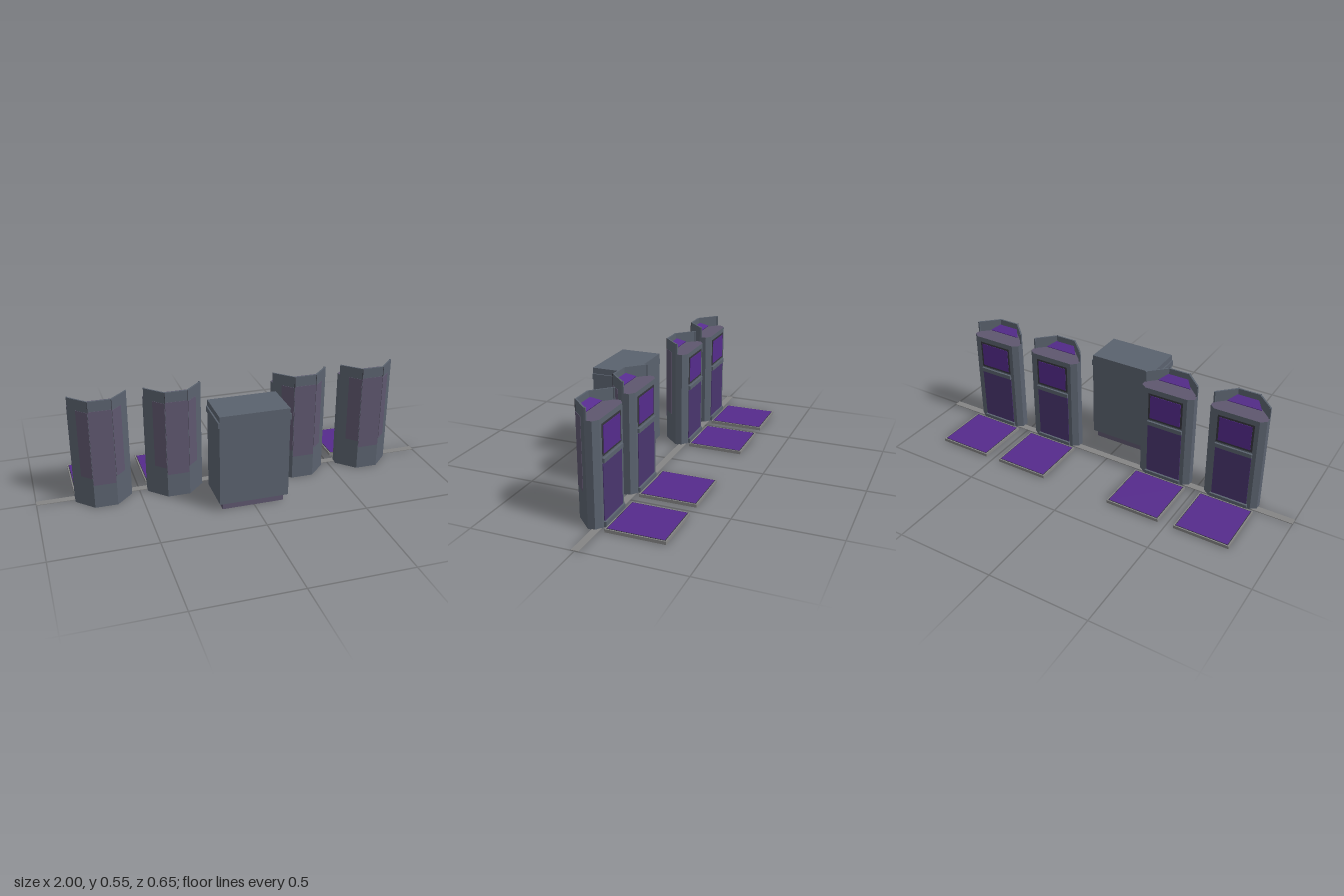
import * as THREE from 'three';

const material = (name, color, side = THREE.FrontSide) => {
  const m = new THREE.MeshStandardMaterial({ color, side });
  m.name = name;
  return m;
};

export function createModel() {
  const slate = material('slate', 0x5a626e);
  const tinted = material('tinted slate', 0x5e576e);
  const purple = material('purple', 0x552b8c);
  const deepPurple = material('deep purple', 0x49356e);
  const grey = material('grey', 0x858585);
  const dark = material('dark trim', 0x35353d);

  const model = new THREE.Group();

  const add = (parent, name, geometry, mat) => {
    const mesh = new THREE.Mesh(geometry, mat);
    mesh.name = name;
    parent.add(mesh);
    return mesh;
  };
  // Box given by its limits on each axis
  const box = (parent, name, mat, x0, x1, y0, y1, z0, z1) => {
    const mesh = add(parent, name, new THREE.BoxGeometry(x1 - x0, y1 - y0, z1 - z0), mat);
    mesh.position.set((x0 + x1) / 2, (y0 + y1) / 2, (z0 + z1) / 2);
    return mesh;
  };
  // Upright prism from a plan outline of [x, z] points
  const prism = (parent, name, mats, plan, y0, y1) => {
    const shape = new THREE.Shape(plan.map(([x, z]) => new THREE.Vector2(x, -z)));
    const geometry = new THREE.ExtrudeGeometry(shape, { depth: y1 - y0, bevelEnabled: false });
    geometry.rotateX(-Math.PI / 2).translate(0, y0, 0);
    return add(parent, name, geometry, mats);
  };
  const mirrored = (half) => [...half, ...half.map(([x, z]) => [-x, z]).reverse()];

  function createConsole() {
    const unit = new THREE.Group();
    unit.name = 'console';

    // Faceted cabinet with an open-backed collar above it
    prism(unit, 'cabinet', [tinted, slate],
      mirrored([[0.11, -0.02], [0.1375, 0], [0.1375, 0.035], [0.055, 0.117]]), 0, 0.495);
    prism(unit, 'collar', slate, [
      [-0.1375, 0.026], [-0.1375, 0.035], [-0.055, 0.117], [0.055, 0.117], [0.1375, 0.035],
      [0.1375, 0.026], [0.13, 0.026], [0.13, 0.032], [0.052, 0.109], [-0.052, 0.109],
      [-0.13, 0.032], [-0.13, 0.026],
    ], 0.495, 0.55);

    // Tinted panels on the front facets
    box(unit, 'frontPanel', tinted, -0.054, 0.054, 0.12, 0.5, 0.116, 0.119);
    for (const side of [-1, 1]) {
      const panel = add(unit, 'sidePanel', new THREE.BoxGeometry(0.068, 0.34, 0.003), tinted);
      panel.position.set(side * 0.08, 0.325, 0.0925);
      panel.rotation.y = side * Math.PI / 4;
      // Seams in the collar
      box(unit, 'collarSeam', dark, side * 0.055 - 0.001, side * 0.055 + 0.001, 0.495, 0.55, 0.116, 0.119);
    }

    // Sloped display inside the collar
    const display = prism(unit, 'collarDisplay', purple,
      [[-0.085, -0.025], [-0.052, 0.02], [0.052, 0.02], [0.085, -0.025]].reverse(), 0, 0.005);
    display.position.set(0, 0.51, 0.088);
    display.rotation.x = -0.5;

    // Back: framed screen above, deep panel below, with two rails
    box(unit, 'screenFrame', dark, -0.09, 0.09, 0.325, 0.47, -0.022, -0.018);
    box(unit, 'screen', purple, -0.08, 0.08, 0.335, 0.46, -0.024, -0.019);
    box(unit, 'lowerPanel', deepPurple, -0.09, 0.09, 0.025, 0.292, -0.023, -0.018);
    box(unit, 'handRail', slate, -0.092, 0.092, 0.296, 0.317, -0.03, -0.015);
    box(unit, 'footRail', slate, -0.095, 0.095, 0, 0.024, -0.032, -0.015);

    // Standing platform behind the console
    const platform = new THREE.Group();
    platform.name = 'platform';
    unit.add(platform);
    box(platform, 'platformBase', grey, -0.1365, 0.1395, 0.001, 0.0165, -0.326, -0.044);
    box(platform, 'platformInset', dark, -0.1305, 0.1335, 0.015, 0.0172, -0.32, -0.05);
    box(platform, 'platformTop', purple, -0.1275, 0.1305, 0.015, 0.018, -0.317, -0.053);
    return unit;
  }

  for (const x of [-0.678, -0.322, 0.32, 0.677]) {
    const unit = createConsole();
    unit.position.x = x;
    model.add(unit);
  }

  // Central cabinet on a recessed plinth
  const locker = new THREE.Group();
  locker.name = 'centralCabinet';
  locker.position.x = -0.005;
  model.add(locker);
  box(locker, 'plinth', tinted, -0.152, 0.152, 0, 0.04, 0.135, 0.308);
  box(locker, 'cabinetBody', slate, -0.17, 0.17, 0.038, 0.435, 0.12, 0.327);
  box(locker, 'lidBand', slate, -0.177, 0.177, 0.435, 0.463, 0.12, 0.327);
  box(locker, 'lid', slate, -0.17, 0.17, 0.463, 0.492, 0.12, 0.327);

  // Floor strip joining the consoles
  box(model, 'floorStrip', grey, -1, 1, 0, 0.003, -0.019, 0.016);

  return model;
}
